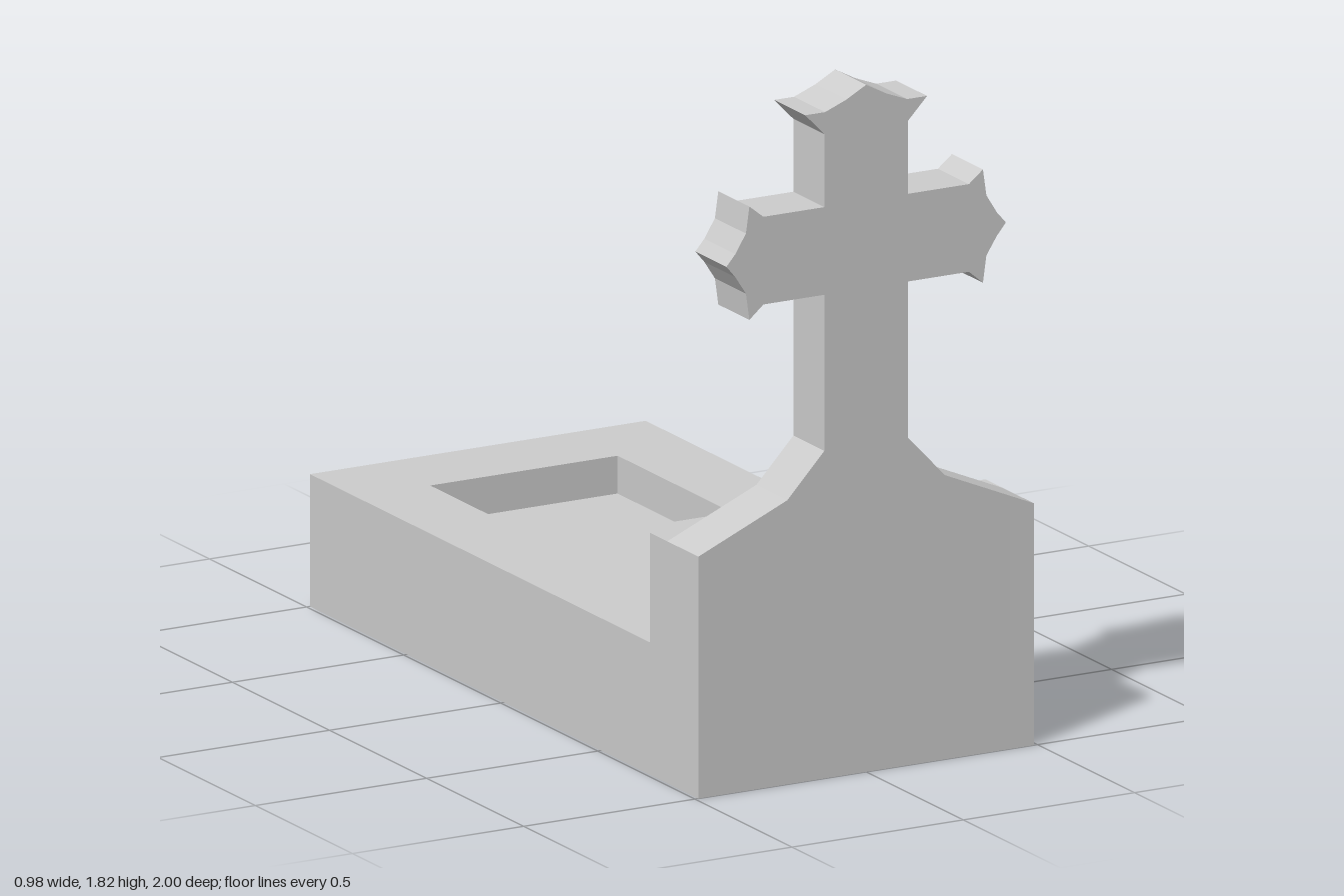
import * as THREE from 'three';

const W = 0.49, FRONT = 1, BACK = -1;          // half width and ends
const SLAB = 0.35, HEAD = 0.64, FLOOR = 0.25;  // heights
const CROSS_Z = 0.84, HEAD_Z = 0.75;           // rear planes of cross and headstone

// Thin stone shell, open underneath
const stone = new THREE.MeshStandardMaterial({
  color: 0xcccccc, flatShading: true, side: THREE.DoubleSide,
});

const toShape = (pts) => new THREE.Shape(pts.map(([x, y]) => new THREE.Vector2(x, y)));

// Strip of flat quads joining consecutive 3D point pairs
function strip(pairs) {
  const pos = [];
  for (let i = 0; i < pairs.length - 1; i++) {
    const [a, b] = pairs[i], [d, c] = pairs[i + 1];
    pos.push(...a, ...b, ...c, ...a, ...c, ...d);
  }
  const g = new THREE.BufferGeometry();
  g.setAttribute('position', new THREE.Float32BufferAttribute(pos, 3));
  g.computeVertexNormals();
  return g;
}

export function createModel() {
  const model = new THREE.Group();
  model.name = 'graveMonument';
  const add = (name, geometry, parent = model) => {
    const mesh = new THREE.Mesh(geometry, stone);
    mesh.name = name;
    parent.add(mesh);
    return mesh;
  };

  // Half outline of the cross, from shoulder up to the peak
  const half = [
    [W, HEAD], [0.23, 0.752], [0.122, 0.867], [0.122, 1.28], [0.3, 1.28],
    [0.341, 1.245], [0.351, 1.316], [0.382, 1.364], [0.408, 1.395],
    [0.382, 1.425], [0.351, 1.475], [0.341, 1.545], [0.3, 1.512],
    [0.122, 1.512], [0.122, 1.705], [0.178, 1.763], [0.12, 1.763],
    [0.058, 1.787], [0, 1.818],
  ];
  const mirrored = half.slice(0, -1).reverse().map(([x, y]) => [-x, y]);
  const outline = [...half, ...mirrored];

  // Cross with its flared foot; the front runs down to the ground
  const cross = new THREE.Group();
  cross.name = 'cross';
  model.add(cross);
  add('frontFace', new THREE.ShapeGeometry(toShape([[-W, 0], [W, 0], ...outline])), cross)
    .position.z = FRONT;
  const rear = new THREE.ShapeGeometry(toShape(outline.map(([x, y]) => [-x, y]).reverse()));
  rear.rotateY(Math.PI);
  add('rearFace', rear, cross).position.z = CROSS_Z;
  add('crossEdge', strip(outline.map(([x, y]) => [[x, y, FRONT], [x, y, CROSS_Z]])), cross);

  // Stepped side walls
  const side = [[BACK, 0], [FRONT, 0], [FRONT, HEAD], [HEAD_Z, HEAD], [HEAD_Z, SLAB], [BACK, SLAB]];
  for (const s of [1, -1]) {
    const wall = new THREE.ShapeGeometry(toShape(side.map(([z, y]) => [-s * z, y])));
    wall.rotateY(s * Math.PI / 2);
    add(s > 0 ? 'leftWall' : 'rightWall', wall).position.x = s * W;
  }

  // Ledge behind the cross and rear face of the headstone
  const across = (y, z) => [[W, y, z], [-W, y, z]];
  add('headstoneBack', strip([across(HEAD, CROSS_Z), across(HEAD, HEAD_Z), across(SLAB, HEAD_Z)].map(([a, b]) => [b, a]).reverse()));

  // Slab top with a rectangular opening
  const x0 = -0.275, x1 = 0.272, z0 = -0.76, z1 = -0.17;
  const slab = toShape([[-W, -HEAD_Z], [W, -HEAD_Z], [W, -BACK], [-W, -BACK]]);
  slab.holes.push(toShape([[x0, -z1], [x0, -z0], [x1, -z0], [x1, -z1]]));
  add('slabTop', new THREE.ShapeGeometry(slab).rotateX(-Math.PI / 2)).position.y = SLAB;
  add('slabBack', new THREE.PlaneGeometry(2 * W, SLAB).rotateY(Math.PI))
    .position.set(0, SLAB / 2, BACK);

  // Sunken planting bed
  const ring = [[x0, z0], [x1, z0], [x1, z1], [x0, z1], [x0, z0]];
  add('recessWalls', strip(ring.map(([x, z]) => [[x, SLAB, z], [x, FLOOR, z]])));
  add('recessFloor', new THREE.PlaneGeometry(x1 - x0, z1 - z0).rotateX(-Math.PI / 2))
    .position.set((x0 + x1) / 2, FLOOR, (z0 + z1) / 2);

  return model;
}
